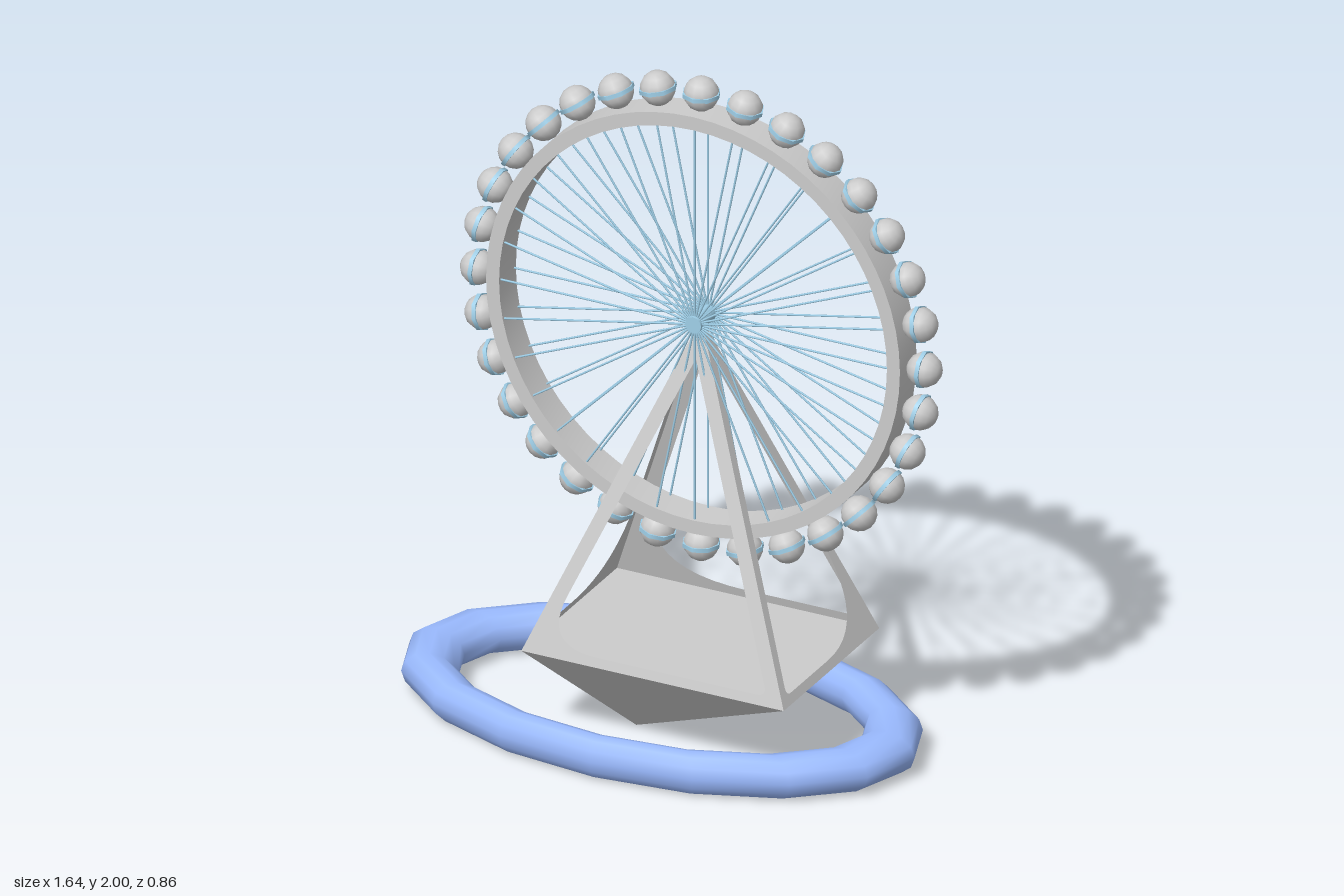
import * as THREE from 'three';
import { toCreasedNormals } from 'three/addons/utils/BufferGeometryUtils.js';

const grey = new THREE.MeshStandardMaterial({ color: 0xcccccc });
const sheet = new THREE.MeshStandardMaterial({ color: 0xcccccc, side: THREE.DoubleSide });
const blue = new THREE.MeshStandardMaterial({ color: 0x9abaff });
const paleBlue = new THREE.MeshStandardMaterial({ color: 0x9fcfe8 });

const V = (x, y, z) => new THREE.Vector3(x, y, z);
const APEX = V(0.08, 1.265, 0.018);
const SEATS = 32;

function add(parent, name, geometry, material) {
  const mesh = new THREE.Mesh(geometry, material);
  mesh.name = name;
  parent.add(mesh);
  return mesh;
}

// Triangular wall from base corners a, b to the apex, with a rounded opening.
// inset: leg width at the base; fa, fb: fillet size at each lower corner as [up the leg, along the base]
function wall(a, b, inset, fa, fb) {
  const width = a.distanceTo(b);
  const u = b.clone().sub(a).normalize();
  const up = APEX.clone().sub(a);
  const ax = up.dot(u);
  const rise = up.addScaledVector(u, -ax);
  const height = rise.length();
  const v = rise.normalize();

  const shape = new THREE.Shape([new THREE.Vector2(0, 0), new THREE.Vector2(width, 0), new THREE.Vector2(ax, height)]);
  // opening corners: legs keep the same slope as the outer edges
  const floor = 0.028;
  const k = 1 - 2 * inset / width;
  const top = new THREE.Vector2(inset + ax * k, height * k);
  const left = new THREE.Vector2(inset + ax * floor / height, floor);
  const right = new THREE.Vector2(width - inset - (width - ax) * floor / height, floor);
  const aUp = left.clone().lerp(top, fa[0]), aIn = left.clone().lerp(right, fa[1]);
  const bUp = right.clone().lerp(top, fb[0]), bIn = right.clone().lerp(left, fb[1]);
  const hole = new THREE.Path();
  hole.moveTo(top.x, top.y);
  hole.lineTo(aUp.x, aUp.y);
  hole.quadraticCurveTo(left.x, left.y, aIn.x, aIn.y);
  hole.lineTo(bIn.x, bIn.y);
  hole.quadraticCurveTo(right.x, right.y, bUp.x, bUp.y);
  hole.closePath();
  shape.holes.push(hole);

  const geometry = new THREE.ShapeGeometry(shape, 12);
  const n = u.clone().cross(v);
  return geometry.applyMatrix4(new THREE.Matrix4().makeBasis(u, v, n).setPosition(a));
}

// Inverted pyramid with a flat top
function foundation(corners, tip) {
  const points = [];
  corners.forEach((c, i) => points.push(c, tip, corners[(i + 1) % 4]));
  points.push(corners[0], corners[1], corners[2], corners[0], corners[2], corners[3]);
  const geometry = new THREE.BufferGeometry().setFromPoints(points);
  geometry.computeVertexNormals();
  return geometry;
}

function buildSupport() {
  const support = new THREE.Group();
  support.name = 'support';
  const fl = V(-0.33, 0.28, 0.295), fr = V(0.475, 0.28, 0.295);
  const br = V(0.475, 0.28, -0.275), bl = V(-0.33, 0.28, -0.275);
  const small = [0.03, 0.05], medium = [0.17, 0.25], large = [0.32, 0.5];
  add(support, 'frontLegs', wall(fl, fr, 0.045, medium, small), sheet);
  add(support, 'rightLegs', wall(fr, br, 0.03, small, large), sheet);
  add(support, 'backLegs', wall(br, bl, 0.045, small, large), sheet);
  add(support, 'leftLegs', wall(bl, fl, 0.03, large, medium), sheet);
  add(support, 'foundation', foundation([fl, fr, br, bl], V(-0.098, 0.003, 0.06)), sheet);
  return support;
}

function buildWheel() {
  const wheel = new THREE.Group();
  wheel.name = 'wheel';
  wheel.position.copy(APEX);

  // rim band
  const ring = new THREE.Shape().absarc(0, 0, 0.635, 0, Math.PI * 2);
  ring.holes.push(new THREE.Path().absarc(0, 0, 0.595, 0, Math.PI * 2));
  const rim = new THREE.ExtrudeGeometry(ring, { depth: 0.1, bevelEnabled: false, curveSegments: 32 });
  rim.translate(0, 0, -0.05);
  add(wheel, 'rim', toCreasedNormals(rim, 0.6), grey);

  // hub
  add(wheel, 'hub', new THREE.CylinderGeometry(0.025, 0.025, 0.1, 12).rotateX(Math.PI / 2), paleBlue);

  // spokes on both sides of the rim, and a capsule outside each pair
  const spoke = new THREE.CylinderGeometry(0.003, 0.003, 0.6, 6).translate(0, 0.3, 0);
  const ball = new THREE.SphereGeometry(0.05, 12, 8);
  const band = new THREE.CylinderGeometry(0.054, 0.054, 0.012, 8);
  for (let i = 0; i < SEATS; i++) {
    const arm = new THREE.Group();
    arm.name = 'arm' + (i + 1);
    arm.rotation.z = i / SEATS * Math.PI * 2;
    for (const z of [-0.04, 0.04]) add(arm, 'spoke', spoke, paleBlue).position.z = z;
    add(arm, 'capsule', ball, grey).position.y = 0.685;
    add(arm, 'capsuleBand', band, paleBlue).position.y = 0.685;
    wheel.add(arm);
  }
  return wheel;
}

export function createModel() {
  const model = new THREE.Group();
  model.name = 'ferrisWheel';

  // oval ring on the ground
  const ring = add(model, 'groundRing', new THREE.TorusGeometry(0.383, 0.047, 12, 16).rotateX(Math.PI / 2), blue);
  ring.scale.set(1.802, 0.0625 / 0.047, 1);
  ring.position.set(-0.05, 0.0625, 0);

  model.add(buildSupport(), buildWheel());
  return model;
}
